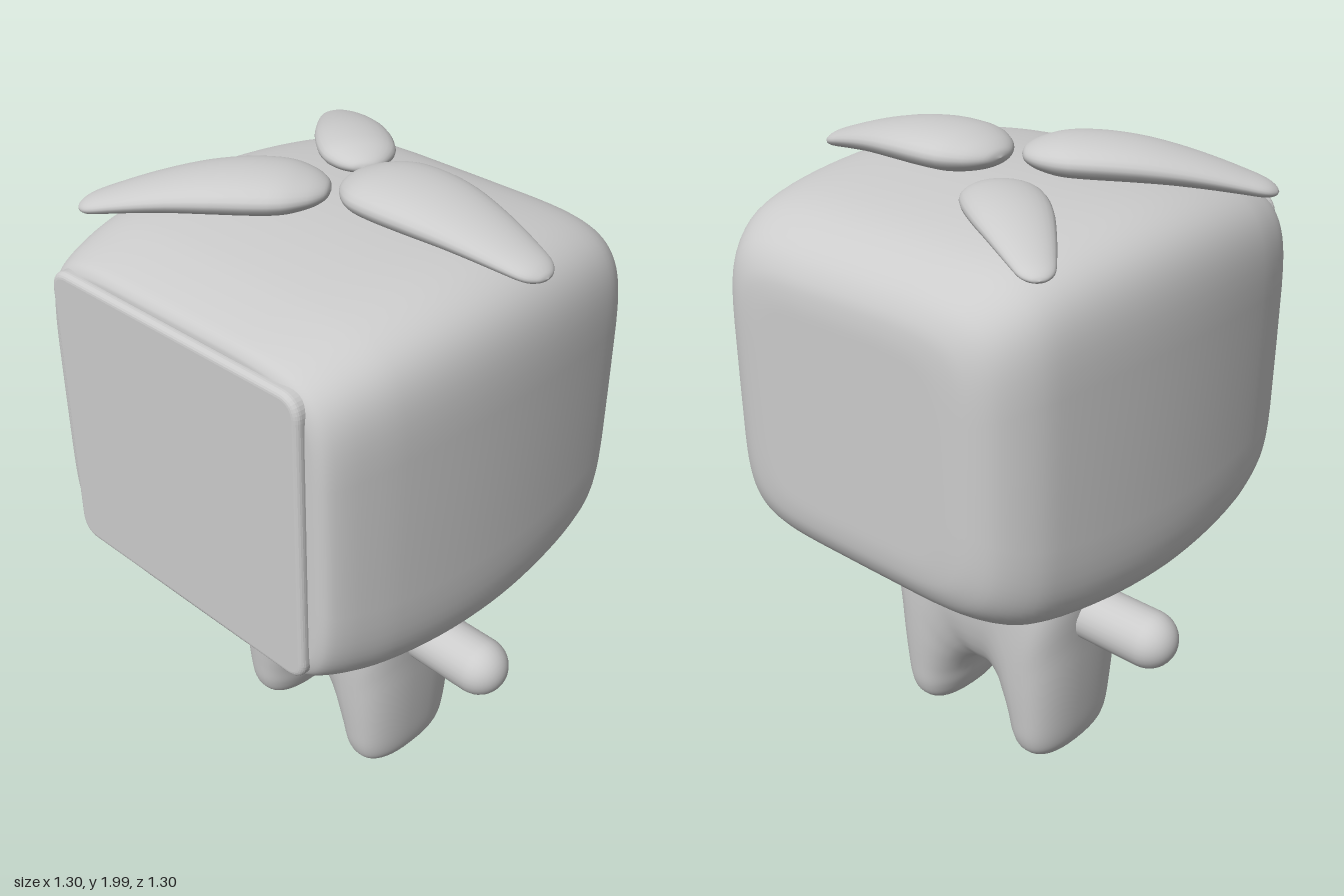
import * as THREE from 'three';

const V = (x, y, z = 0) => new THREE.Vector3(x, y, z);
const spow = (c, n) => Math.sign(c) * Math.abs(c) ** (2 / n);

// Smooth closed skin over rings of equal length
function loft(rings) {
  const n = rings[0].length, pos = [], idx = [];
  rings.forEach(r => r.forEach(p => pos.push(p.x, p.y, p.z)));
  for (let i = 0; i < rings.length - 1; i++) {
    for (let j = 0; j < n; j++) {
      const k = (j + 1) % n, a = i * n, b = a + n;
      idx.push(a + j, a + k, b + k, a + j, b + k, b + j);
    }
  }
  const g = new THREE.BufferGeometry();
  g.setAttribute('position', new THREE.Float32BufferAttribute(pos, 3));
  g.setIndex(idx);
  g.computeVertexNormals();
  return g;
}

// Superellipse ring around a centre, spanned by u and v
function ring(c, u, v, n, count) {
  return Array.from({ length: count }, (_, j) => {
    const a = (j / count) * Math.PI * 2;
    return c.clone().addScaledVector(u, spow(Math.cos(a), n)).addScaledVector(v, spow(Math.sin(a), n));
  });
}

// Boxy head: half width, half height, z from back to front
function headGeometry() {
  const curve = new THREE.CatmullRomCurve3([
    [0.28, 0.25, -0.65], [0.37, 0.33, -0.648], [0.44, 0.39, -0.635], [0.505, 0.45, -0.595],
    [0.565, 0.51, -0.505], [0.593, 0.543, -0.4], [0.622, 0.57, -0.2], [0.634, 0.58, 0],
    [0.629, 0.572, 0.2], [0.607, 0.546, 0.4], [0.585, 0.522, 0.5], [0.562, 0.5, 0.57],
    [0.54, 0.484, 0.607], [0.515, 0.465, 0.622], [0.49, 0.45, 0.625]].map(p => V(...p)));
  const s = curve.getPoints(56);
  s.unshift(V(0, 0, -0.65));
  s.push(V(0.44, 0.42, 0.625), V(0, 0, 0.625));
  return loft(s.map(p => ring(V(0, 1.301, p.z), V(p.x, 0, 0), V(0, p.y, 0), 5.6, 80)));
}

// Raised rounded panel on the face
function screenGeometry() {
  const b = 0.018, w = 0.48 - b, h = 0.445 - b, r = 0.05;
  const s = new THREE.Shape();
  s.moveTo(-w + r, -h);
  s.lineTo(w - r, -h); s.quadraticCurveTo(w, -h, w, -h + r);
  s.lineTo(w, h - r); s.quadraticCurveTo(w, h, w - r, h);
  s.lineTo(-w + r, h); s.quadraticCurveTo(-w, h, -w, h - r);
  s.lineTo(-w, -h + r); s.quadraticCurveTo(-w, -h, -w + r, -h);
  return new THREE.ExtrudeGeometry(s, {
    depth: 0.05, bevelSize: b, bevelThickness: b, bevelSegments: 5, curveSegments: 10
  });
}

// Torso and legs: sections swept over an upside-down U, from foot to foot
function bodyGeometry() {
  // inner x, y, outer x, y, half depth
  const half = [
    [0.225, 0.003, 0.226, 0.003, 0.01], [0.185, 0.012, 0.27, 0.012, 0.1], [0.15, 0.045, 0.302, 0.045, 0.16],
    [0.128, 0.1, 0.323, 0.1, 0.188], [0.113, 0.16, 0.336, 0.23, 0.201], [0.09, 0.205, 0.35, 0.46, 0.213],
    [0.06, 0.228, 0.364, 0.74, 0.22], [0.03, 0.235, 0.25, 1.0, 0.22]];
  const all = [...half, [0, 0.237, 0, 1.0, 0.22],
    ...half.slice().reverse().map(([a, b, c, d, e]) => [-a, b, -c, d, e])];
  const inner = new THREE.CatmullRomCurve3(all.map(p => V(p[0], p[1], p[4])), false, 'catmullrom', 0.5);
  const outer = new THREE.CatmullRomCurve3(all.map(p => V(p[2], p[3], p[4])), false, 'catmullrom', 0.5);
  const rings = [];
  for (let i = 0; i <= 96; i++) {
    const a = inner.getPoint(i / 96), b = outer.getPoint(i / 96);
    const mid = V((a.x + b.x) / 2, (a.y + b.y) / 2);
    rings.push(ring(mid, V((b.x - a.x) / 2, (b.y - a.y) / 2), V(0, 0, -a.z), 2.4, 40));
  }
  return loft(rings);
}

// Drooping teardrop leaf from a wide root to a narrow tip
function leafGeometry(root, tip, width, thick, rise) {
  const profile = new THREE.CatmullRomCurve3([
    [0, 0], [0.02, 0.38], [0.09, 0.74], [0.19, 0.96], [0.3, 1], [0.45, 0.95], [0.65, 0.77],
    [0.85, 0.54], [0.94, 0.41], [0.985, 0.22], [1, 0]].map(p => V(...p)));
  const d = tip.clone().sub(root).setY(0).normalize();
  const rings = profile.getPoints(50).map(({ x: t, y: f }) => {
    const c = root.clone().lerp(tip, t);
    c.y += rise * Math.sin(Math.PI * t);
    return ring(c, V(d.z, 0, -d.x).multiplyScalar(width * f), V(0, thick * f, 0), 2, 28);
  });
  return loft(rings);
}

export function createModel() {
  const model = new THREE.Group();
  const mat = new THREE.MeshStandardMaterial({ color: 0xcccccc });
  const add = (name, geo, x = 0, y = 0, z = 0) => {
    const m = new THREE.Mesh(geo, mat);
    m.name = name;
    m.position.set(x, y, z);
    model.add(m);
    return m;
  };

  add('head', headGeometry());
  add('screen', screenGeometry(), 0, 1.305, 0.58);
  add('body', bodyGeometry());

  // Stubby arms straight out to the sides
  for (const [name, s] of [['leftArm', 1], ['rightArm', -1]]) {
    const arm = add(name, new THREE.CapsuleGeometry(0.089, 0.25, 10, 28), s * 0.436, 0.558, 0);
    arm.rotation.z = Math.PI / 2;
  }

  // Three leaves around the crown
  add('leftLeaf', leafGeometry(V(-0.032, 1.925, -0.062), V(0.638, 1.858, -0.066), 0.159, 0.06, 0.033));
  add('frontLeaf', leafGeometry(V(-0.025, 1.918, 0.03), V(-0.595, 1.828, 0.452), 0.148, 0.058, 0.033));
  add('backLeaf', leafGeometry(V(-0.105, 1.89, -0.18), V(-0.557, 1.835, -0.515), 0.113, 0.046, 0.025));

  return model;
}
